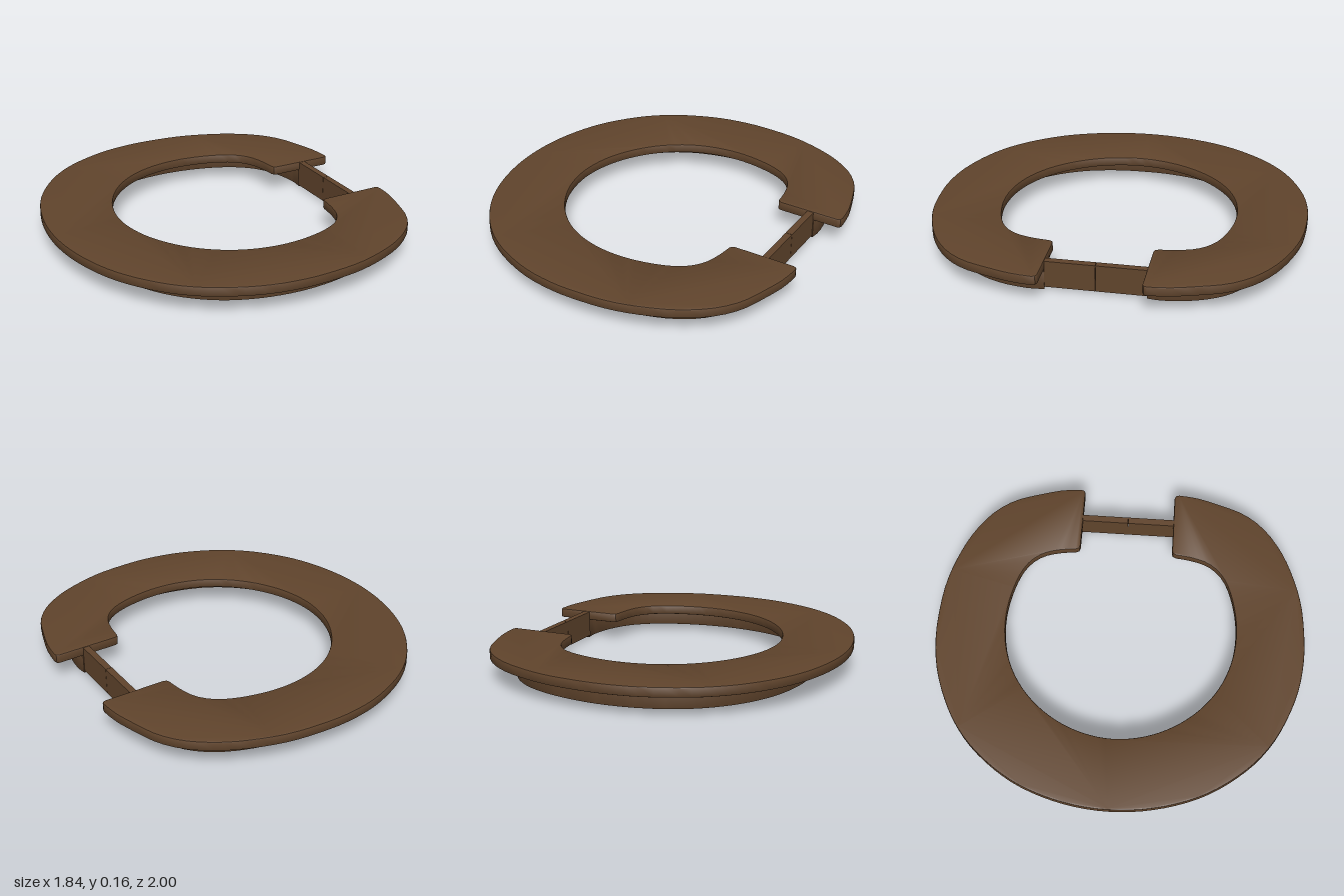
import * as THREE from 'three';
import { toCreasedNormals } from 'three/addons/utils/BufferGeometryUtils.js';

const material = new THREE.MeshStandardMaterial({ color: 0x60442c });

// Smooth curve through half a ring (gap end to far side), mirrored across z = 0
function ringCurve(half, samples) {
  const mirrored = half.slice(0, -1).reverse().map(([x, z]) => [x, -z]);
  const points = [...half, ...mirrored].map(([x, z]) => new THREE.Vector3(x, 0, z));
  const curve = new THREE.CatmullRomCurve3(points, false, 'centripetal');
  return curve.getSpacedPoints(samples).map(p => new THREE.Vector2(p.x, p.z));
}

// Points moved sideways by d, toward the inside of the ring
function offset(points, d) {
  return points.map((p, i) => {
    const a = points[Math.max(i - 1, 0)];
    const b = points[Math.min(i + 1, points.length - 1)];
    const t = b.clone().sub(a).normalize();
    return new THREE.Vector2(p.x - t.y * d, p.y + t.x * d);
  });
}

// Extrude an outline lying in x, z between two heights, with slightly eased edges
function slab(name, outline, y0, y1, bevel) {
  const geometry = new THREE.ExtrudeGeometry(new THREE.Shape(outline), {
    depth: y1 - y0 - 2 * bevel,
    bevelEnabled: bevel > 0, bevelThickness: bevel, bevelSize: bevel,
    bevelOffset: -bevel, bevelSegments: 2,
  });
  geometry.rotateX(Math.PI / 2);
  geometry.translate(0, y1 - bevel, 0);
  const mesh = new THREE.Mesh(toCreasedNormals(geometry, 0.6), material);
  mesh.name = name;
  return mesh;
}

export function createModel() {
  const group = new THREE.Group();
  group.name = 'openRing';

  // Flat C-shaped plate with rounded corners at the gap
  const plateOuter = ringCurve([
    [0.915, -0.28], [0.905, -0.38], [0.87, -0.51], [0.82, -0.65], [0.74, -0.76],
    [0.61, -0.86], [0.46, -0.93], [0.29, -0.98], [0.1, -1], [-0.03, -1],
    [-0.2, -0.975], [-0.36, -0.92], [-0.51, -0.84], [-0.65, -0.72],
    [-0.8, -0.51], [-0.89, -0.26], [-0.92, 0],
  ], 96);
  const plateInner = ringCurve([
    [0.54, -0.28], [0.53, -0.36], [0.505, -0.45], [0.465, -0.51], [0.4, -0.56],
    [0.27, -0.607], [0.1, -0.63], [-0.07, -0.61], [-0.22, -0.55],
    [-0.35, -0.45], [-0.45, -0.32], [-0.515, -0.17], [-0.54, 0],
  ], 80).reverse();
  const corner = (x, z) => new THREE.Vector2(x, z);
  group.add(slab('plate', [
    ...plateOuter,
    corner(0.91, 0.263), corner(0.895, 0.255), corner(0.565, 0.257), corner(0.548, 0.263),
    ...plateInner,
    corner(0.548, -0.263), corner(0.565, -0.257), corner(0.895, -0.255), corner(0.91, -0.263),
  ], 0.108, 0.16, 0.007));

  // Thin wall standing under the plate
  const wallOuter = ringCurve([
    [0.76, -0.257], [0.767, -0.33], [0.735, -0.5], [0.66, -0.64], [0.53, -0.745],
    [0.33, -0.82], [0.08, -0.85], [-0.16, -0.82], [-0.37, -0.735],
    [-0.55, -0.58], [-0.67, -0.38], [-0.725, -0.17], [-0.735, 0],
  ], 96);
  const wallInner = offset(wallOuter, -0.036).reverse();
  // Keep the offset on the inside of the ring
  if (wallInner[48].x < -0.735) wallInner.splice(0, 97, ...offset(wallOuter, 0.036).reverse());
  group.add(slab('wall', [...wallOuter, ...wallInner], 0, 0.112, 0.003));

  // Two straight panels bridging the gap, meeting in the middle
  for (const side of [-1, 1]) {
    const panel = new THREE.Mesh(new THREE.BoxGeometry(0.036, 0.144, 0.262), material);
    panel.name = side > 0 ? 'frontBridge' : 'backBridge';
    panel.position.set(0.738, 0.084, side * 0.132);
    group.add(panel);
  }
  return group;
}
